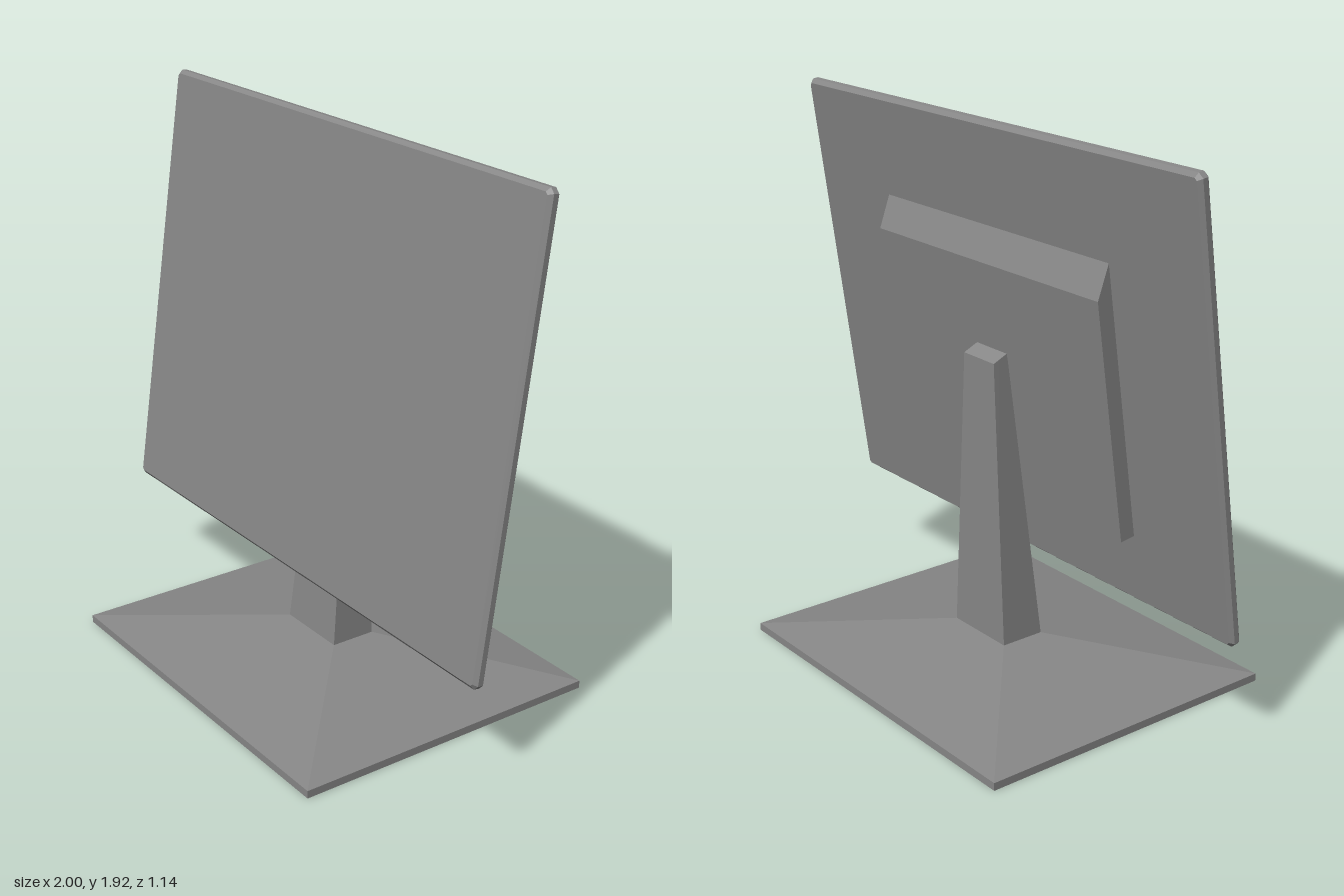
import * as THREE from 'three';

const material = new THREE.MeshStandardMaterial({ color: 0x878787 });

function addMesh(group, name, geometry) {
  const mesh = new THREE.Mesh(geometry, material);
  mesh.name = name;
  group.add(mesh);
  return mesh;
}

// Tapered block: each end gives half width, front and back as [z, y]
function taperedBlock(bottom, top) {
  const geometry = new THREE.BoxGeometry(2, 2, 2);
  const p = geometry.attributes.position;
  for (let i = 0; i < p.count; i++) {
    const end = p.getY(i) > 0 ? top : bottom;
    const [z, y] = p.getZ(i) > 0 ? end.front : end.back;
    p.setXYZ(i, Math.sign(p.getX(i)) * end.half, y, z);
  }
  geometry.computeVertexNormals();
  return geometry;
}

// Slab with cut corners and chamfered front and back rims
function chamferedSlab(width, height, depth, cut, chamfer) {
  const w = width / 2, h = height / 2;
  const outline = [
    [w - cut, -h], [w, cut - h], [w, h - cut], [w - cut, h],
    [cut - w, h], [-w, h - cut], [-w, cut - h], [cut - w, -h],
  ];
  const shape = new THREE.Shape(outline.map(([x, y]) => new THREE.Vector2(x, y)));
  return new THREE.ExtrudeGeometry(shape, {
    depth: depth - 2 * chamfer, bevelSegments: 1,
    bevelSize: chamfer, bevelThickness: chamfer, bevelOffset: -chamfer,
  }).center();
}

export function createModel() {
  const model = new THREE.Group();
  model.name = 'monitor';

  // Base: thin plate with a shallow pyramid rising to the column
  const plate = addMesh(model, 'basePlate', new THREE.BoxGeometry(1.384, 0.027, 1.14));
  plate.position.y = 0.0135;
  addMesh(model, 'baseSlope', taperedBlock(
    { half: 0.692, front: [0.57, 0.027], back: [-0.57, 0.027] },
    { half: 0.135, front: [0.07, 0.12], back: [-0.093, 0.12] }));

  // Column: upright back, leaning front, sloped top
  addMesh(model, 'column', taperedBlock(
    { half: 0.135, front: [0.07, 0.12], back: [-0.093, 0.12] },
    { half: 0.08, front: [-0.038, 1.15], back: [-0.093, 1.125] }));

  // Screen panel, tilted back
  const panel = addMesh(model, 'screenPanel', chamferedSlab(2, 1.546, 0.045, 0.016, 0.013));
  panel.position.set(0, 1.153, 0.04);
  panel.rotation.x = -0.1415;

  // Rear housing: side profile [z, y] extruded across the width
  const profile = [[-0.035, 1.581], [-0.082, 1.45], [0.036, 0.627], [0.1, 0.635]];
  const shape = new THREE.Shape(profile.map(([z, y]) => new THREE.Vector2(-z, y)));
  const housing = new THREE.ExtrudeGeometry(shape, { depth: 1.154, bevelEnabled: false });
  housing.translate(0, 0, -0.577).rotateY(Math.PI / 2);
  addMesh(model, 'rearHousing', housing);

  return model;
}
